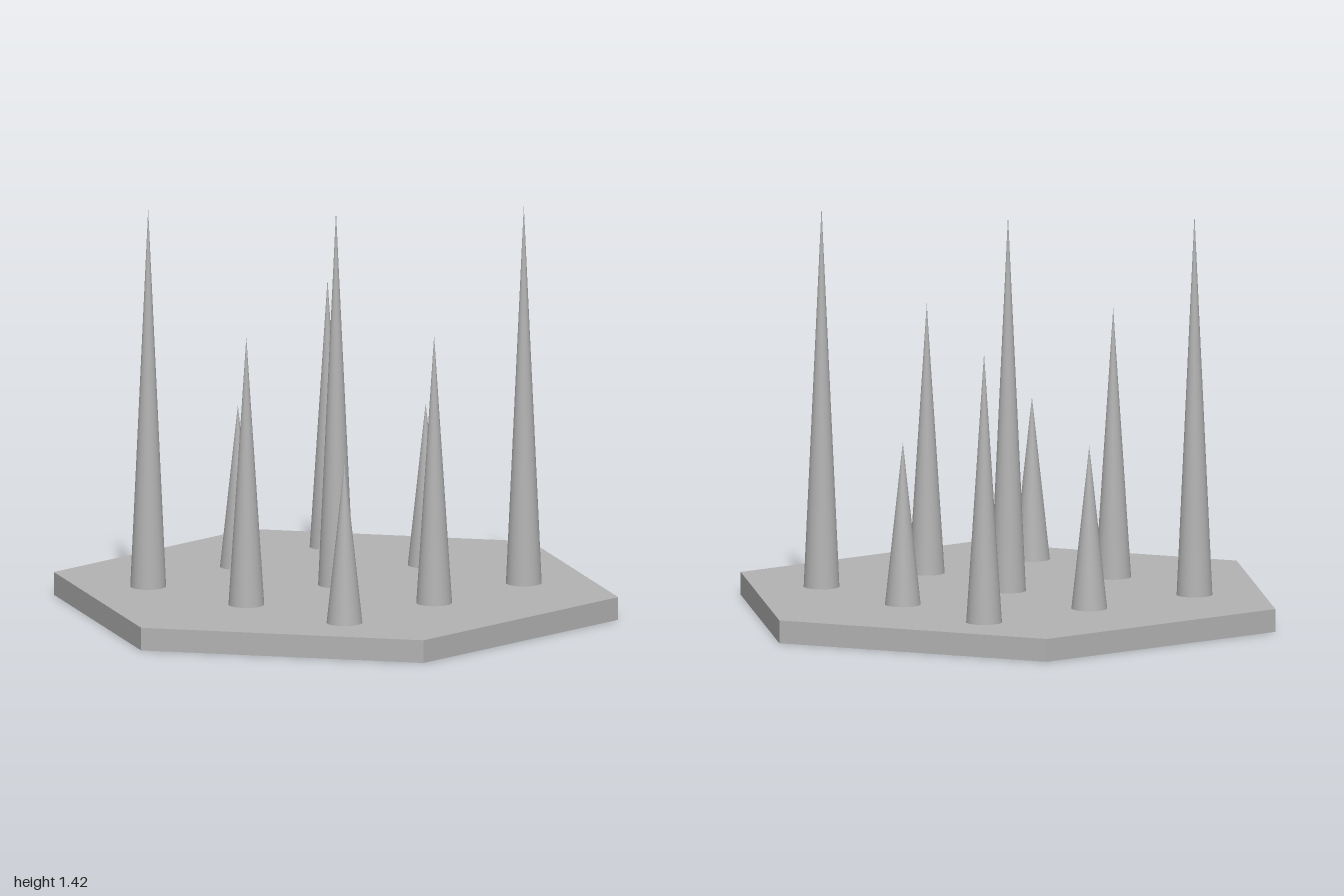
import * as THREE from 'three';

const SPACING = 0.46;
const PLATE = 0.08;
// tip heights, rows from back to front, columns from -x to +x
const TIPS = [
  [1.415, 0.65, 1.025],
  [1.025, 1.40, 0.65],
  [0.65, 1.025, 1.415],
];

export function createModel() {
  const model = new THREE.Group();
  const grey = new THREE.MeshStandardMaterial({ color: 0xb3b3b3 });
  grey.name = 'stone grey';

  // hexagonal base with corners on the x axis
  const hexagon = new THREE.Shape();
  for (let i = 0; i < 6; i++) {
    const a = (i * Math.PI) / 3;
    hexagon[i ? 'lineTo' : 'moveTo'](Math.cos(a), Math.sin(a));
  }
  hexagon.closePath();
  const plate = new THREE.ExtrudeGeometry(hexagon, { depth: PLATE, bevelEnabled: false });
  plate.rotateX(-Math.PI / 2);
  const base = new THREE.Mesh(plate, grey);
  base.name = 'hexagonBase';
  model.add(base);

  // three by three grid of spikes
  const spikes = new THREE.Group();
  spikes.name = 'spikes';
  TIPS.forEach((row, r) => row.forEach((tip, c) => {
    const height = tip - PLATE;
    const cone = new THREE.ConeGeometry(0.062, height, 32, 1, true);
    cone.translate(0, height / 2, 0);
    const spike = new THREE.Mesh(cone, grey);
    spike.name = 'spike';
    spike.position.set((c - 1) * SPACING, PLATE, (r - 1) * SPACING);
    spikes.add(spike);
  }));
  model.add(spikes);
  return model;
}
